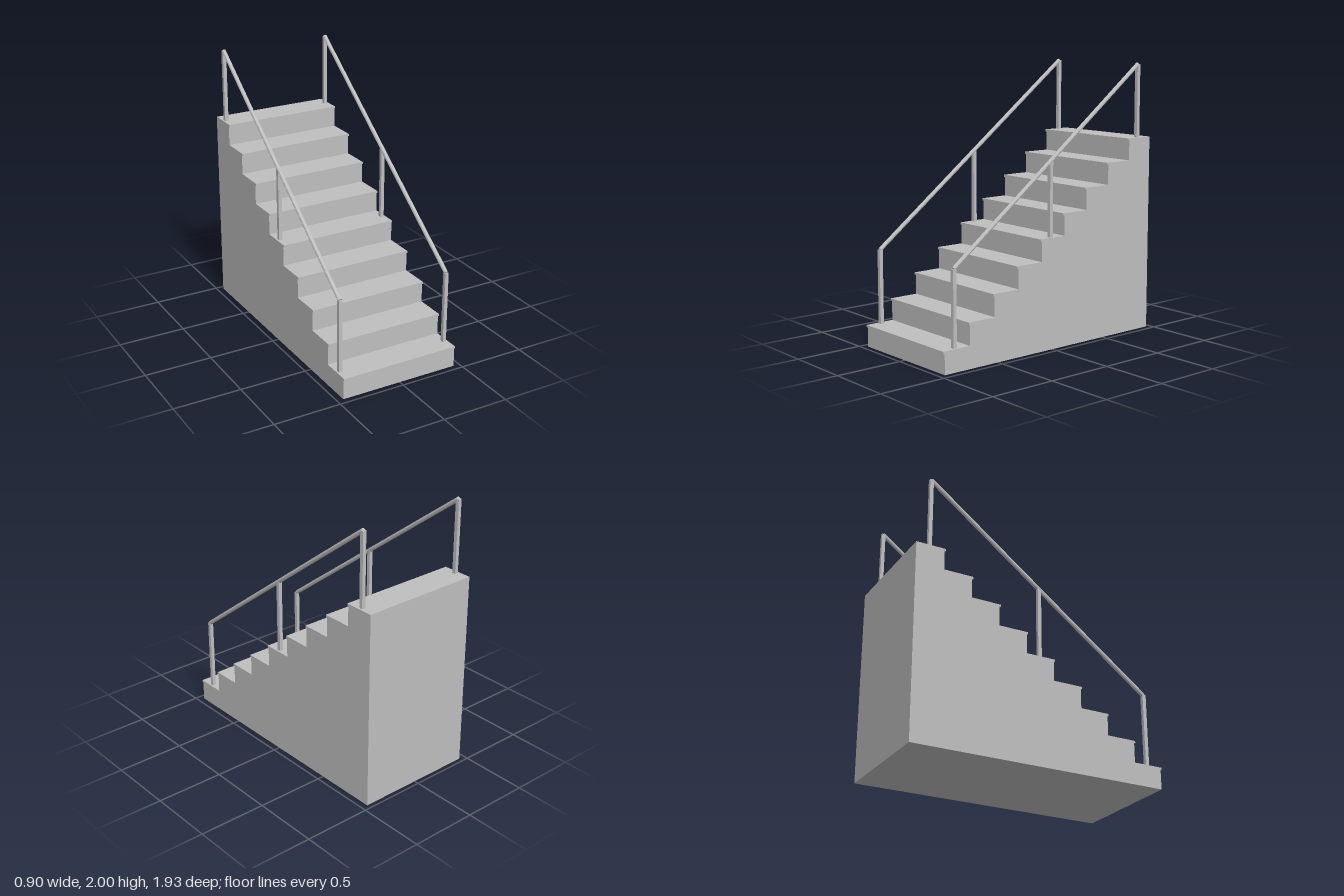
import * as THREE from 'three';

const STEPS = 9, RISE = 0.1612, RUN = 0.2136;
const WIDTH = 0.904, FRONT = 0.956, BACK = -0.966;
const NOSE = 0.01, TREAD = 0.016;
const RAIL_X = 0.425, POST_Z = 0.857, POST_H = 0.537, POST_W = 0.027, RAIL_R = 0.0155;

export function createModel() {
  const model = new THREE.Group();
  model.name = 'staircase';
  const grey = new THREE.MeshStandardMaterial({ color: 0xbfbfbf, flatShading: true });
  grey.name = 'light grey';

  const add = (parent, name, geometry) => {
    const mesh = new THREE.Mesh(geometry, grey);
    mesh.name = name;
    parent.add(mesh);
    return mesh;
  };

  // Solid flight: side profile (z, y) with a small nosing on every tread
  const profile = new THREE.Shape();
  profile.moveTo(BACK, 0);
  profile.lineTo(FRONT, 0);
  for (let i = 0; i < STEPS; i++) {
    const z = FRONT - i * RUN, y = (i + 1) * RISE;
    profile.lineTo(z, y - TREAD);
    profile.lineTo(z + NOSE, y - TREAD);
    profile.lineTo(z + NOSE, y);
    profile.lineTo(i === STEPS - 1 ? BACK : z - RUN, y);
  }
  profile.closePath();
  const flight = new THREE.ExtrudeGeometry(profile, { depth: WIDTH, bevelEnabled: false });
  flight.translate(0, 0, -WIDTH / 2).rotateY(-Math.PI / 2);
  add(model, 'steps', flight);

  // Handrails: posts on the first, middle and last treads, with a sloping rail
  for (const side of [1, -1]) {
    const handrail = new THREE.Group();
    handrail.name = side > 0 ? 'leftHandrail' : 'rightHandrail';
    handrail.position.x = side * RAIL_X;
    model.add(handrail);

    [['lowerPost', 1, POST_Z], ['middlePost', 5, 0], ['upperPost', 9, -POST_Z]].forEach(([name, step, z]) => {
      const post = add(handrail, name, new THREE.BoxGeometry(POST_W, POST_H, POST_W));
      post.position.set(0, step * RISE + POST_H / 2, z);
    });

    const start = new THREE.Vector3(0, RISE + POST_H, POST_Z);
    const end = new THREE.Vector3(0, STEPS * RISE + POST_H, -POST_Z);
    const slope = end.clone().sub(start);
    const rail = add(handrail, 'rail', new THREE.CylinderGeometry(RAIL_R, RAIL_R, slope.length(), 8));
    rail.position.copy(start).add(end).multiplyScalar(0.5);
    rail.quaternion.setFromUnitVectors(new THREE.Vector3(0, 1, 0), slope.normalize());
  }
  return model;
}
